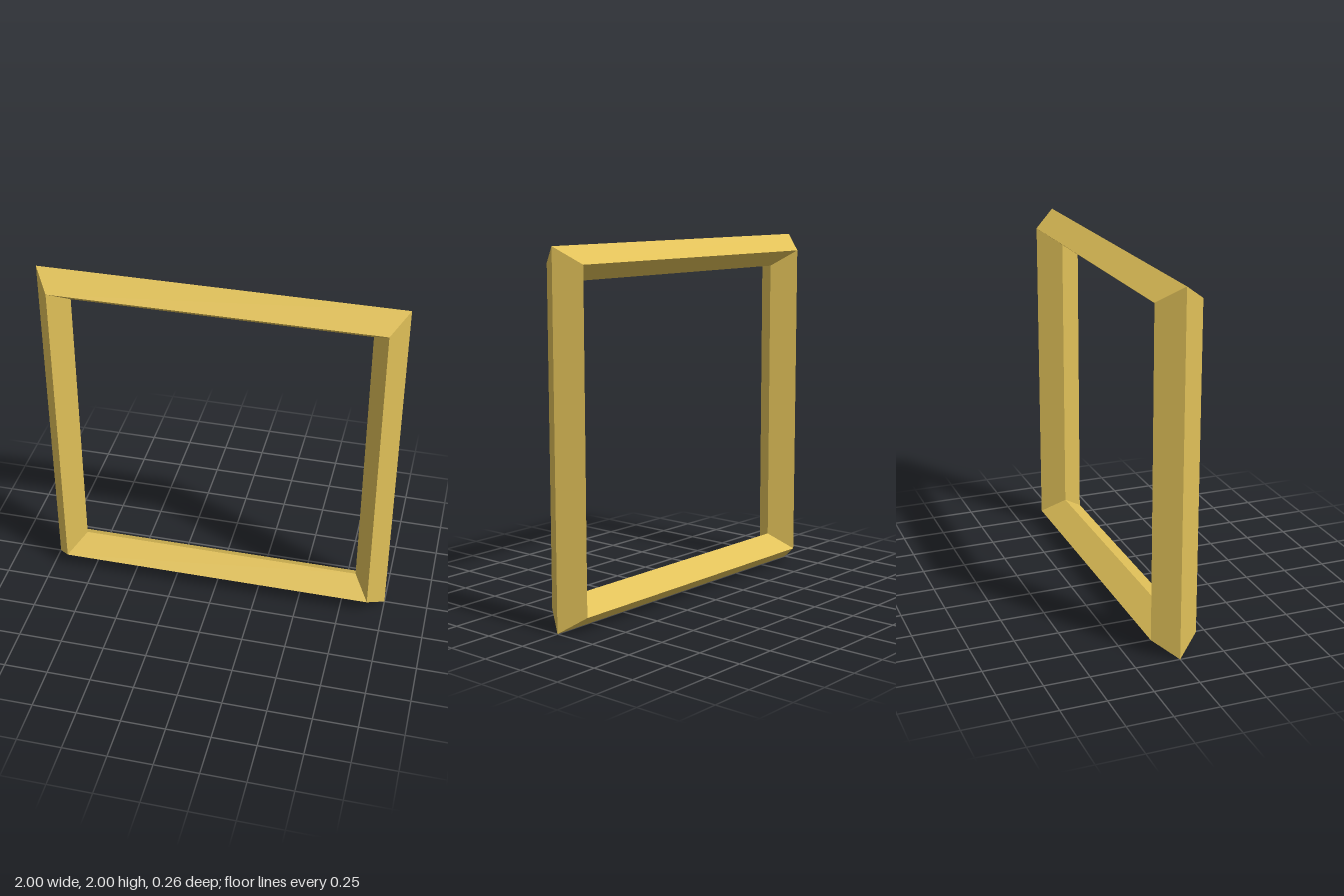
import * as THREE from 'three';

export function createModel() {
  const group = new THREE.Group();
  group.name = 'squareRing';

  const gold = new THREE.MeshStandardMaterial({ color: 0xe0c058 });
  gold.name = 'gold';

  // Four-sided ring with a diamond section: corners reach x = +-1 and y = 0..2
  const ringRadius = Math.SQRT2 / 1.1;
  const tubeRadius = ringRadius * 0.1;
  const geometry = new THREE.TorusGeometry(ringRadius, tubeRadius, 4, 4)
    .rotateZ(Math.PI / 4)
    .translate(0, 1, 0)
    .toNonIndexed();
  geometry.computeVertexNormals(); // flat facets

  const frame = new THREE.Mesh(geometry, gold);
  frame.name = 'frame';
  group.add(frame);
  return group;
}
